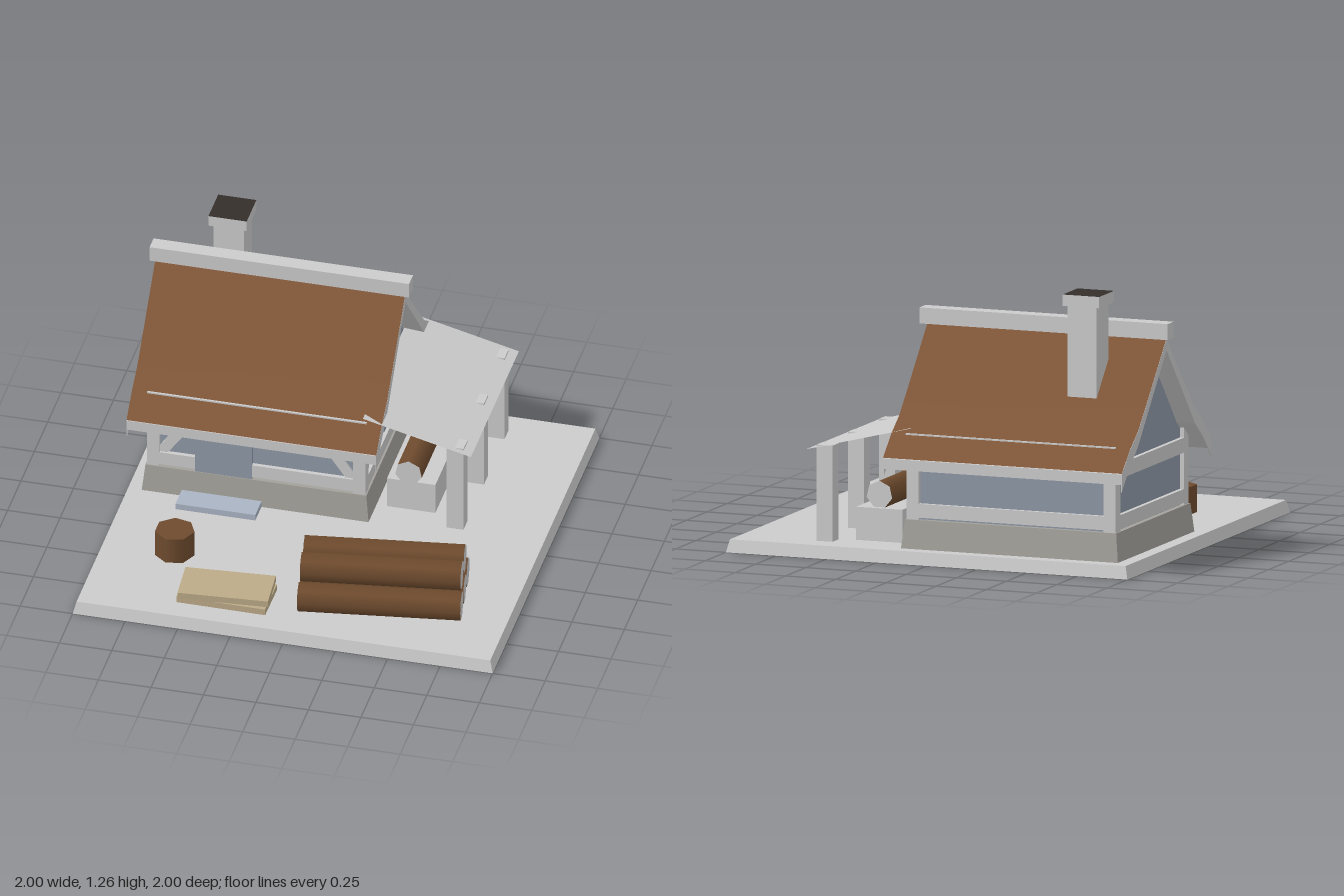
import * as THREE from 'three';

const mat = (color, side = THREE.FrontSide) => new THREE.MeshStandardMaterial({ color, side });
const GREY = mat(0xcccccc);
const THIN = mat(0xcccccc, THREE.DoubleSide);
const STONE = mat(0xa3a19b);
const PANEL = mat(0x8e98a6);
const SLATE = mat(0xaab4c4);
const ROOF = mat(0x7f5638);
const BARK = mat(0x6e4b2e);
const PLANK = mat(0xbcaa88);
const SOOT = mat(0x352e2b, THREE.DoubleSide);
const GROUND = 0.06;
const MID_Z = -0.45;

export function createModel() {
  const model = new THREE.Group();

  const add = (name, geometry, material = GREY, parent = model) => {
    const mesh = new THREE.Mesh(geometry, material);
    mesh.name = name;
    parent.add(mesh);
    return mesh;
  };

  // Box given by its limits; the top can be drawn in to taper it
  const box = (name, x0, x1, y0, y1, z0, z1, material = GREY, inset = 0) => {
    const g = new THREE.BoxGeometry(x1 - x0, y1 - y0, z1 - z0);
    const p = g.attributes.position;
    for (let i = 0; i < p.count; i++) {
      if (p.getY(i) <= 0) continue;
      p.setX(i, p.getX(i) - Math.sign(p.getX(i)) * inset);
      p.setZ(i, p.getZ(i) - Math.sign(p.getZ(i)) * inset);
    }
    g.computeVertexNormals();
    const mesh = add(name, g, material);
    mesh.position.set((x0 + x1) / 2, (y0 + y1) / 2, (z0 + z1) / 2);
    return mesh;
  };

  // Leave out faces of a box: the bottom, and the top too if asked
  const openUp = (mesh, topToo) => {
    const index = Array.from(mesh.geometry.index.array);
    mesh.geometry.setIndex([...index.slice(0, topToo ? 12 : 18), ...index.slice(24)]);
    mesh.geometry.clearGroups();
  };

  // Cross-section (depth from ridge, height) run along x
  const runAlongX = (name, points, x0, x1, material = GREY) => {
    const shape = new THREE.Shape(points.map(([d, y]) => new THREE.Vector2(d, y)));
    const g = new THREE.ExtrudeGeometry(shape, { depth: x1 - x0, bevelEnabled: false });
    g.rotateY(Math.PI / 2);
    add(name, g, material).position.set(x0, 0, MID_Z);
  };
  const mirrored = (half) => [...half.slice(1).reverse().map(([d, y]) => [-d, y]), ...half];

  // Ground slab (a tray open below), foundation and step
  openUp(box('groundSlab', -1, 1, 0, GROUND, -1, 1, THIN, 0.015), false);
  box('foundation', -0.92, 0.16, GROUND, 0.195, -0.92, 0.02, STONE, 0.014);
  box('doorStep', -0.73, -0.35, GROUND, 0.09, 0.01, 0.135, SLATE);

  // Walls with gables
  const wallTop = mirrored([[0, 0.99], [0.22, 0.745], [0.35, 0.595], [0.43, 0.53]]);
  runAlongX('walls', [[0.43, 0.19], [-0.43, 0.19], ...wallTop], -0.88, 0.12, PANEL);

  // Timber frame: corner posts, rails and wall plates
  for (const [x0, x1] of [[-0.9, -0.84], [0.08, 0.14]]) {
    for (const [z0, z1] of [[-0.06, 0], [-0.9, -0.84]]) {
      box('cornerPost', x0, x1, 0.195, 0.5, z0, z1);
    }
    box('gableSill', x0, x1, 0.205, 0.27, -0.9, 0);
    box('gableTieBeam', x0, x1, 0.44, 0.51, -0.9, 0);
  }
  for (const [z0, z1] of [[-0.06, 0], [-0.9, -0.84]]) {
    box('wallSill', -0.9, 0.14, 0.205, 0.27, z0, z1);
    box('wallPlate', -0.9, 0.145, 0.44, 0.596, z0, z1);
  }

  // Diagonal braces on the front and on the sheltered side
  const brace = (from, to, onSide) => {
    const a = new THREE.Vector2(...from), b = new THREE.Vector2(...to);
    const bar = new THREE.BoxGeometry(a.distanceTo(b), 0.05, 0.03);
    bar.rotateZ(Math.atan2(b.y - a.y, b.x - a.x));
    if (onSide) bar.rotateY(Math.PI / 2);
    const c = a.add(b).multiplyScalar(0.5);
    const mesh = add('brace', bar);
    if (onSide) mesh.position.set(0.115, c.y, -c.x);
    else mesh.position.set(c.x, c.y, -0.025);
  };
  brace([-0.84, 0.26], [-0.69, 0.47]);
  brace([0.08, 0.26], [-0.07, 0.47]);
  brace([0.06, 0.26], [0.21, 0.47], true);
  brace([0.84, 0.26], [0.69, 0.47], true);

  // Door and side window
  box('door', -0.67, -0.4, 0.19, 0.45, -0.04, 0.003, PANEL);
  box('sideWindow', 0.1, 0.135, 0.3, 0.48, -0.53, -0.37, PANEL);

  // Flared roof: shell with upright eaves, thin boards closing both ends
  const slope = [[0, 1.04], [0.22, 0.797], [0.35, 0.658], [0.45, 0.586], [0.55, 0.49]];
  const underside = [[0, 0.985], [0.22, 0.737], [0.35, 0.588], [0.45, 0.51]];
  const section = (lowerEdge) =>
    [...mirrored(slope), ...mirrored([...underside, lowerEdge]).reverse()];
  runAlongX('roofShell', section([0.55, 0.44]), -0.968, 0.213);
  for (const x of [-0.972, 0.213]) runAlongX('bargeBoard', section([0.55, 0.407]), x, x + 0.004);

  // Roof covering, one smooth sheet per side
  for (const side of [1, -1]) {
    const g = new THREE.PlaneGeometry(1.189, 1, 1, slope.length - 1);
    const p = g.attributes.position;
    for (let i = 0; i < p.count; i++) {
      const [d, y] = slope[Math.floor(i / 2)];
      p.setXYZ(i, side * p.getX(i) - 0.3775, y + 0.003, MID_Z + side * d);
    }
    g.computeVertexNormals();
    add('roofCovering', g, ROOF);
  }
  box('ridgeBeam', -0.993, 0.242, 1.04, 1.115, -0.49, -0.415);

  // Chimney: shaft, and a cap open below with a dark top
  box('chimneyShaft', -0.72, -0.575, 0.6, 1.21, -0.688, -0.54);
  openUp(box('chimneyCap', -0.74, -0.558, 1.207, 1.26, -0.705, -0.522, THIN), true);
  add('chimneyMouth', new THREE.PlaneGeometry(0.182, 0.183).rotateX(-Math.PI / 2), SOOT)
    .position.set(-0.649, 1.26, -0.6135);

  // Lean-to: thin sloping canopy on three posts
  const canopy = new THREE.PlaneGeometry(0.53, 0.9);
  canopy.rotateX(-Math.PI / 2);
  canopy.rotateZ(-0.244);
  add('canopy', canopy, THIN).position.set(0.385, 0.5535, MID_Z);
  for (const z of [-0.065, MID_Z, -0.835]) {
    box('canopyPost', 0.52, 0.6, GROUND, 0.51, z - 0.038, z + 0.038);
  }

  // Seven-sided log with bark sides and pale cut ends, lying along x
  const log = (length, radius, parent) => {
    const g = new THREE.CylinderGeometry(radius, radius, length, 7);
    g.rotateZ(Math.PI / 2);
    return add('log', g, [BARK, GREY, GREY], parent);
  };

  // Stone rest with a log under the canopy
  box('logRest', 0.21, 0.44, GROUND, 0.215, -0.78, -0.13);
  const restLog = log(0.69, 0.065, model);
  restLog.rotation.y = Math.PI / 2;
  restLog.rotateX(-Math.PI / 2);
  restLog.position.set(0.32, 0.281, -0.445);

  // Log pile: three below, two above
  const pile = new THREE.Group();
  pile.name = 'logPile';
  pile.position.set(0.375, 0, 0.592);
  pile.rotation.y = 0.146;
  model.add(pile);
  for (const z of [-0.14, 0, 0.14]) log(0.758, 0.07, pile).position.set(0, 0.127, z);
  for (const z of [-0.07, 0.07]) log(0.745, 0.07, pile).position.set(0, 0.248, z);

  // Chopping stump
  add('stump', new THREE.CylinderGeometry(0.094, 0.094, 0.13, 7).rotateY(Math.PI / 2), BARK)
    .position.set(-0.645, GROUND + 0.065, 0.482);

  // Stacked planks, each turned a little
  [-0.01, 0.075].forEach((turn, i) => {
    const y = GROUND + i * 0.034;
    box('plank', -0.537, -0.113, y, y + 0.031, 0.662, 0.878, PLANK).rotation.y = turn;
  });

  return model;
}
